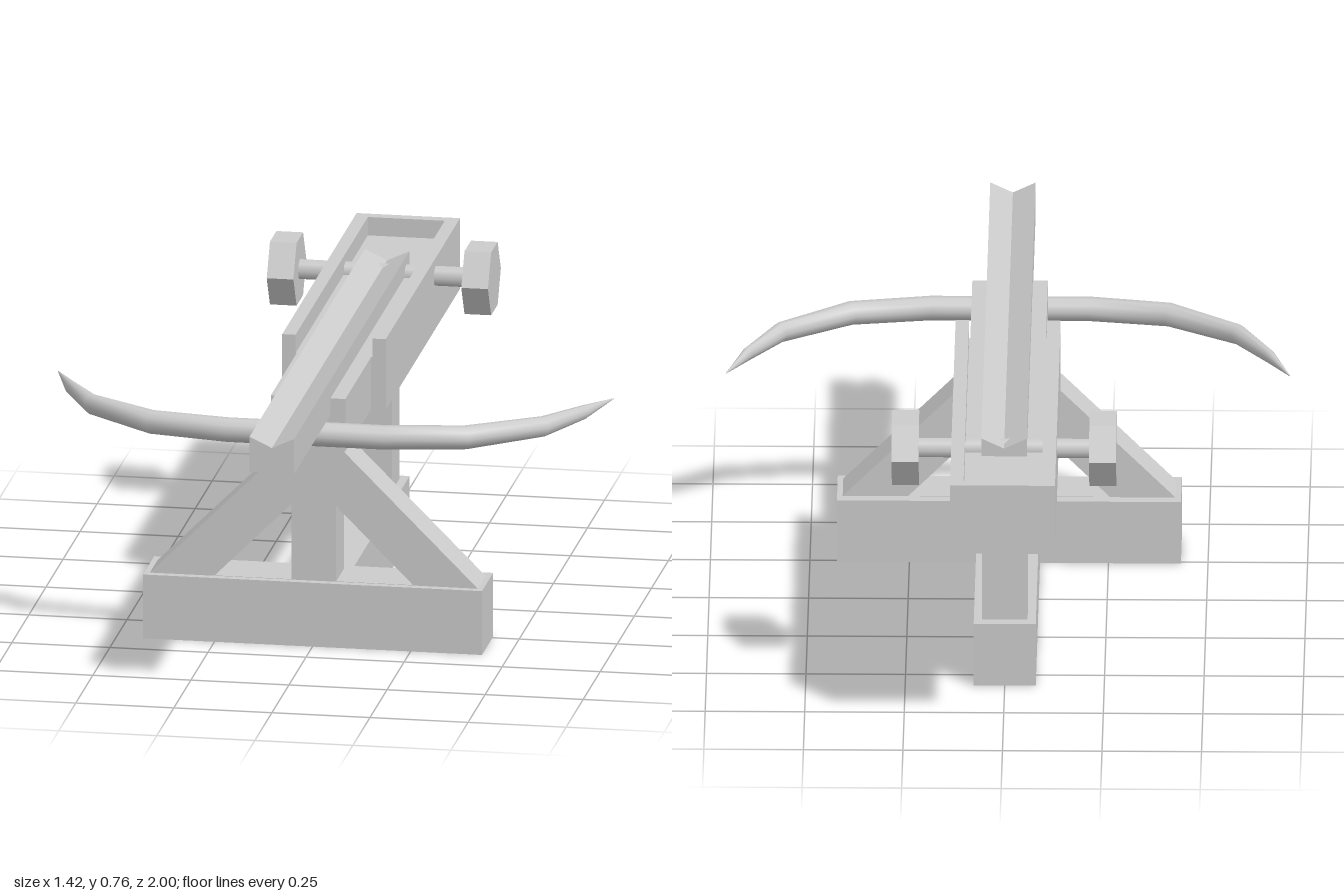
import * as THREE from 'three';
import { mergeGeometries } from 'three/addons/utils/BufferGeometryUtils.js';

const flat = new THREE.MeshStandardMaterial({ color: 0xcccccc, flatShading: true, side: THREE.DoubleSide });
const smooth = new THREE.MeshStandardMaterial({ color: 0xcccccc, side: THREE.DoubleSide });

// Sweeps an x/y profile along z with capped ends; the underside stays open.
function hollowBeam(profile, z0, z1) {
  const pos = [];
  for (let i = 0; i < profile.length - 1; i++) {
    const [ax, ay] = profile[i], [bx, by] = profile[i + 1];
    pos.push(ax, ay, z0, ax, ay, z1, bx, by, z1, ax, ay, z0, bx, by, z1, bx, by, z0);
  }
  const skin = new THREE.BufferGeometry();
  skin.setAttribute('position', new THREE.Float32BufferAttribute(pos, 3));
  skin.computeVertexNormals();
  const shape = new THREE.Shape(profile.map(([x, y]) => new THREE.Vector2(x, y)));
  const caps = [z0, z1].map((z, i) => {
    const g = new THREE.ShapeGeometry(shape).toNonIndexed();
    g.deleteAttribute('uv');
    if (i === 0) g.rotateY(Math.PI);
    return g.translate(0, 0, z);
  });
  return mergeGeometries([skin, ...caps]);
}

const rect = (w, y0, y1) => [[-w, y0], [-w, y1], [w, y1], [w, y0]];

// Tapered limb: elliptical rings [x, z, radius, half height] along a bent path.
function bowGeometry(rings, y, sides = 10) {
  const pos = [], idx = [];
  rings.forEach(([x, z, r, h], i) => {
    const a = rings[Math.max(i - 1, 0)], b = rings[Math.min(i + 1, rings.length - 1)];
    const t = new THREE.Vector2(b[0] - a[0], b[1] - a[1]).normalize();
    for (let j = 0; j < sides; j++) {
      const q = (j / sides) * Math.PI * 2;
      pos.push(x - t.y * r * Math.cos(q), y + h * Math.sin(q), z + t.x * r * Math.cos(q));
      if (i === rings.length - 1) continue;
      const k = (j + 1) % sides, p = i * sides, n = p + sides;
      idx.push(p + j, n + j, p + k, p + k, n + j, n + k);
    }
  });
  const g = new THREE.BufferGeometry();
  g.setAttribute('position', new THREE.Float32BufferAttribute(pos, 3));
  g.setIndex(idx);
  g.computeVertexNormals();
  return g;
}

export function createModel() {
  const model = new THREE.Group();
  const add = (name, geometry, material = flat) => {
    const mesh = new THREE.Mesh(geometry, material);
    mesh.name = name;
    model.add(mesh);
    return mesh;
  };

  // T-shaped base
  add('baseCrossBeam', hollowBeam(rect(0.432, 0, 0.167), 0.24, 0.405));
  add('baseRearBeam', hollowBeam(rect(0.078, 0, 0.167), -0.57, 0.24));

  // Front frame: centre post with two diagonal braces
  const frame = new THREE.Shape([[-0.418, 0.167], [0.418, 0.167], [0.05, 0.535], [-0.05, 0.535]]
    .map(([x, y]) => new THREE.Vector2(x, y)));
  for (const s of [-1, 1]) {
    frame.holes.push(new THREE.Path([[0.057, 0.168], [0.057, 0.365], [0.253, 0.168]]
      .map(([x, y]) => new THREE.Vector2(s * x, y))));
  }
  add('frontFrame', new THREE.ExtrudeGeometry(frame, { depth: 0.115, bevelEnabled: false }).translate(0, 0, 0.27));

  // Rear post
  add('rearPost', new THREE.BoxGeometry(0.114, 0.37, 0.112)).position.set(0, 0.352, -0.485);

  // Stock: trough with raised sides, closed at the back, narrower at the front
  add('trough', hollowBeam([[-0.132, 0.535], [-0.132, 0.72], [-0.098, 0.72], [-0.098, 0.672],
    [0.098, 0.672], [0.098, 0.72], [0.132, 0.72], [0.132, 0.535]], -0.97, 0.09));
  add('troughBackWall', hollowBeam(rect(0.132, 0.535, 0.72), -1, -0.97));
  add('stockFront', hollowBeam(rect(0.095, 0.535, 0.672), 0.09, 0.47));

  // Slider with a V groove
  add('slider', hollowBeam([[-0.057, 0.628], [-0.057, 0.72], [0, 0.693], [0.057, 0.72], [0.057, 0.628]], -0.69, 1));

  // Winch: axle with a six-sided knob at each end
  add('winchAxle', new THREE.CylinderGeometry(0.026, 0.026, 0.44, 8).rotateZ(Math.PI / 2), smooth)
    .position.set(0, 0.674, -0.64);
  for (const s of [-1, 1]) {
    const knob = new THREE.CylinderGeometry(0.095, 0.095, 0.068, 6).rotateZ(Math.PI / 2);
    add(s > 0 ? 'leftKnob' : 'rightKnob', knob).position.set(s * 0.248, 0.674, -0.64);
  }

  // Bow, mirrored from one limb
  const limb = [[0.2, 0.497, 0.031, 0.031], [0.4, 0.462, 0.031, 0.03], [0.575, 0.333, 0.023, 0.026],
    [0.655, 0.19, 0.014, 0.018], [0.708, 0.06, 0.001, 0.001]];
  const mirrored = limb.map(([x, ...rest]) => [-x, ...rest]).reverse();
  add('bow', bowGeometry([...mirrored, ...limb], 0.585), smooth);

  return model;
}
